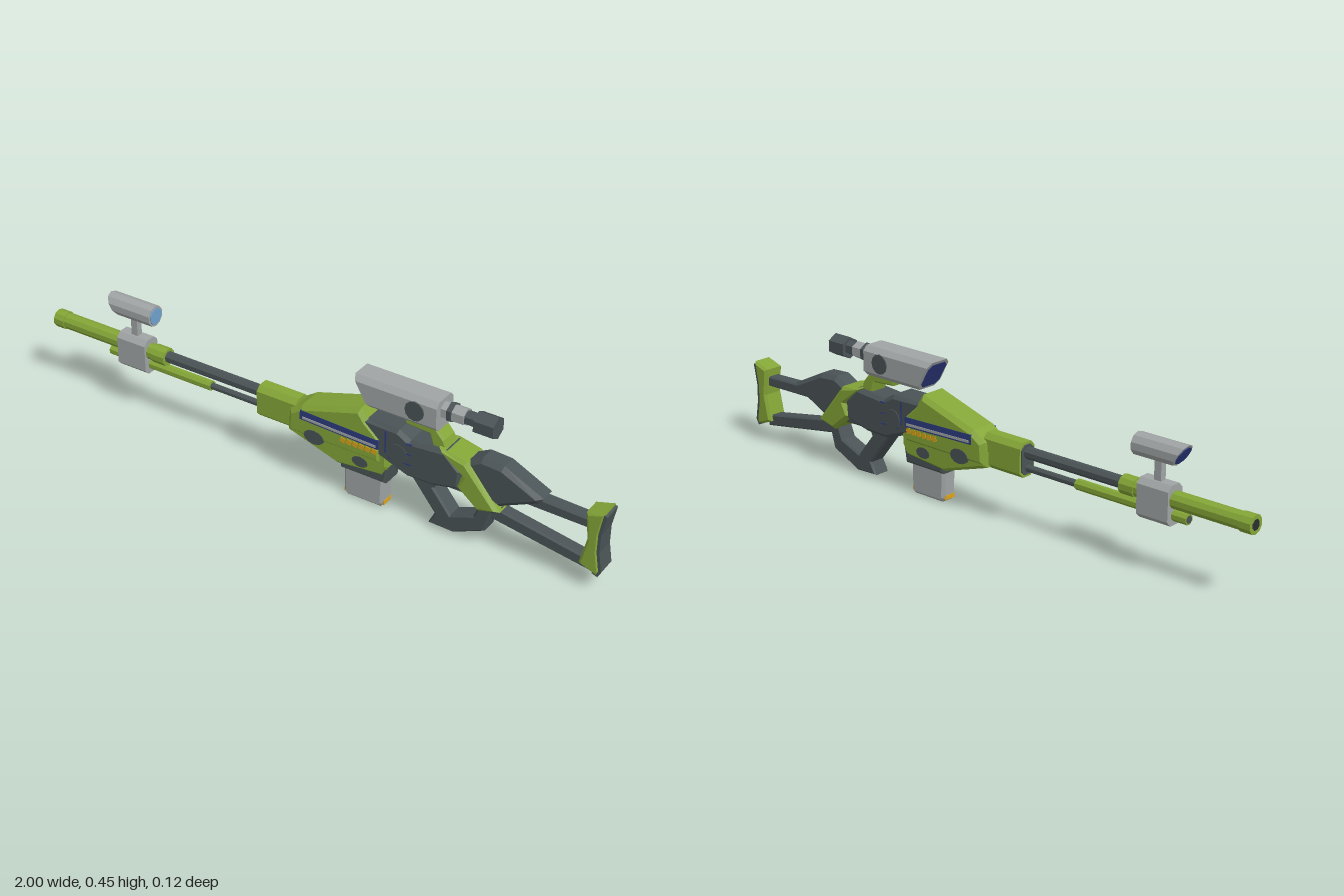
import * as THREE from 'three';

const mat = (name, color) => {
  const m = new THREE.MeshStandardMaterial({ color, flatShading: true });
  m.name = name;
  return m;
};

export function createModel() {
  const model = new THREE.Group();
  model.name = 'rifle';
  const green = mat('green', 0x84a637), dark = mat('dark grey', 0x4a5356), grey = mat('light grey', 0xa0a4a4);
  const black = mat('black', 0x2a2e31), navy = mat('navy', 0x2d3c80), yellow = mat('yellow', 0xdba41a);
  const glass = mat('glass', 0x6fa3cc);

  const add = (name, geo, material, x = 0, y = 0, z = 0) => {
    const m = new THREE.Mesh(geo, material);
    m.name = name;
    m.position.set(x, y, z);
    model.add(m);
    return m;
  };
  const outline = (pts) => new THREE.Shape(pts.map(p => new THREE.Vector2(...p)));

  // Side silhouette extruded through the width, with chamfered edges
  const slab = (name, pts, half, bevel, material, hole) => {
    const s = outline(pts);
    if (hole) s.holes.push(new THREE.Path(hole.map(p => new THREE.Vector2(...p))));
    const geo = new THREE.ExtrudeGeometry(s, {
      depth: 2 * (half - bevel), bevelEnabled: bevel > 0, bevelThickness: bevel,
      bevelSize: bevel, bevelOffset: -bevel, bevelSegments: 1,
    });
    geo.translate(0, 0, bevel - half);
    return add(name, geo, material);
  };

  // Cross-section swept along x; slant pushes the lower front edge back
  const prism = (name, section, x0, x1, y, material, slant = 0) => {
    const geo = new THREE.ExtrudeGeometry(outline(section), { depth: x1 - x0, bevelEnabled: false });
    geo.rotateY(Math.PI / 2);
    const p = geo.attributes.position;
    const mid = (x1 - x0) / 2;
    for (let i = 0; i < p.count; i++) {
      if (p.getX(i) < mid || x1 - x0 < 0.01) p.setX(i, p.getX(i) - slant * p.getY(i));
    }
    geo.computeVertexNormals();
    return add(name, geo, material, x0, y, 0);
  };
  const ngon = (r, n, turn = 0) => Array.from({ length: n }, (_, i) => {
    const a = (i / n) * Math.PI * 2 + turn;
    return [r * Math.cos(a), r * Math.sin(a)];
  });
  const chamfered = (w, h, c) => [[-w + c, -h], [w - c, -h], [w, -h + c], [w, h - c],
    [w - c, h], [-w + c, h], [-w, h - c], [-w, -h + c]];
  const tube = (name, x0, x1, y, r, material, n = 8) => prism(name, ngon(r, n, Math.PI / n), x0, x1, y, material);
  const box = (name, x0, x1, y0, y1, half, material) =>
    add(name, new THREE.BoxGeometry(x1 - x0, y1 - y0, half * 2), material, (x0 + x1) / 2, (y0 + y1) / 2, 0);

  // Barrels
  tube('muzzle', -1, -0.96, 0.24, 0.03, green, 10);
  tube('muzzleBore', -1.001, -0.998, 0.24, 0.017, black);
  tube('barrelSleeve', -0.96, -0.6, 0.24, 0.027, green, 10);
  tube('barrelCollar', -0.6, -0.55, 0.24, 0.03, green, 10);
  tube('barrel', -0.55, -0.17, 0.242, 0.019, dark);
  tube('lowerSleeve', -0.78, -0.38, 0.193, 0.017, green);
  tube('lowerBore', -0.782, -0.779, 0.193, 0.012, dark);
  tube('lowerBarrel', -0.39, -0.17, 0.193, 0.011, dark);

  // Front sight
  prism('sightClamp', chamfered(0.033, 0.061, 0.016), -0.73, -0.62, 0.224, grey);
  box('sightPost', -0.687, -0.663, 0.28, 0.345, 0.011, grey);
  prism('sightTube', ngon(0.035, 10, Math.PI / 10), -0.75, -0.595, 0.375, grey, 0.6);
  prism('sightFrontGlass', ngon(0.028, 10, Math.PI / 10), -0.754, -0.751, 0.375, navy, 0.6);
  tube('sightRearGlass', -0.595, -0.592, 0.375, 0.028, glass, 10);

  // Fore end and green body shells
  prism('foreEnd', chamfered(0.033, 0.055, 0.016), -0.185, -0.04, 0.22, green);
  prism('foreEndOpening', chamfered(0.027, 0.047, 0.014), -0.188, -0.184, 0.22, dark);
  slab('upperShell', [[-0.06, 0.175], [-0.055, 0.25], [-0.01, 0.28], [0.2, 0.345], [0.225, 0.31],
    [0.275, 0.265], [0.275, 0.175]], 0.055, 0.014, green);
  slab('lowerShell', [[-0.06, 0.22], [-0.06, 0.17], [0.115, 0.115], [0.275, 0.13], [0.295, 0.165],
    [0.295, 0.22]], 0.047, 0.01, green);

  // Dark receiver, trigger loop and grip
  slab('receiver', [[0.2, 0.315], [0.33, 0.315], [0.37, 0.292], [0.49, 0.302], [0.545, 0.25], [0.54, 0.185],
    [0.45, 0.165], [0.36, 0.163], [0.26, 0.2], [0.22, 0.27]], 0.05, 0.012, dark);
  slab('grip', [[0.355, 0.175], [0.45, 0.055], [0.43, 0.015], [0.515, 0.012], [0.62, 0.06], [0.64, 0.13],
    [0.67, 0.16], [0.6, 0.195], [0.45, 0.195]], 0.03, 0.006, dark,
    [[0.455, 0.165], [0.445, 0.145], [0.505, 0.07], [0.58, 0.1], [0.598, 0.145], [0.575, 0.165]]);

  // Magazine
  slab('magazineWell', [[0.115, 0.165], [0.125, 0.1], [0.285, 0.1], [0.295, 0.165]], 0.04, 0.008, dark);
  slab('magazine', [[0.13, 0.11], [0.132, 0.012], [0.142, 0], [0.26, 0], [0.27, 0.012], [0.272, 0.11]], 0.029, 0.009, grey);
  for (const x of [0.134, 0.268]) box('magazineCorner', x - 0.004, x + 0.004, 0.008, 0.022, 0.021, yellow);

  // Details painted on both flanks
  for (const s of [1, -1]) {
    const plate = (name, x0, x1, y0, y1, z, material) => {
      const m = box(name, x0, x1, y0, y1, 0.002, material);
      m.position.z = s * z;
      return m;
    };
    plate('sideSlot', -0.01, 0.268, 0.232, 0.264, 0.0545, navy).rotation.z = -0.03;
    plate('sideRail', 0, 0.26, 0.237, 0.245, 0.0565, grey).rotation.z = -0.03;
    for (let i = 0; i < 6; i++) {
      plate('hazardTooth', 0.135 + i * 0.022, 0.152 + i * 0.022, 0.208, 0.225, 0.0545, yellow).rotation.z = -0.3;
    }
    for (let i = 0; i < 3; i++) plate('blueLine', 0.3 + i * 0.03, 0.38, 0.21 + i * 0.035, 0.214 + i * 0.035, 0.0495, navy);
    plate('blueUpright', 0.287, 0.292, 0.225, 0.3, 0.0495, navy);
    const oval = (name, x, y, rx, ry, z, material) => {
      const geo = new THREE.CylinderGeometry(1, 1, 0.008, 12).rotateX(Math.PI / 2).scale(rx, ry, 1);
      add(name, geo, material, x, y, s * z);
    };
    oval('sideOval', 0.04, 0.187, 0.036, 0.024, 0.053, dark);
    oval('rearOval', 0.2, 0.155, 0.028, 0.018, 0.045, dark);
    oval('receiverPivot', 0.33, 0.235, 0.034, 0.034, 0.048, dark);
    oval('scopeKnob', 0.383, 0.403, 0.032, 0.032, 0.048, dark);
  }

  // Scope and its bracket
  slab('scopeBracket', [[0.335, 0.365], [0.44, 0.365], [0.475, 0.325], [0.49, 0.285], [0.44, 0.285],
    [0.425, 0.33], [0.345, 0.335]], 0.032, 0.006, green);
  prism('scopeBody', chamfered(0.048, 0.049, 0.016), 0.198, 0.455, 0.4, grey, 0.56);
  prism('scopeFrontGlass', chamfered(0.039, 0.04, 0.013), 0.194, 0.197, 0.4, navy, 0.56);
  tube('scopeNeck', 0.45, 0.53, 0.41, 0.028, grey, 6);
  tube('scopeRing', 0.475, 0.49, 0.41, 0.032, dark, 6);
  tube('eyepieceNeck', 0.53, 0.57, 0.41, 0.023, dark, 6);
  prism('eyepiece', ngon(0.036, 6, Math.PI / 2), 0.565, 0.63, 0.408, dark);

  // Stock
  slab('stockBand', [[0.465, 0.305], [0.56, 0.29], [0.672, 0.155], [0.6, 0.135], [0.525, 0.195],
    [0.545, 0.235]], 0.052, 0.012, green);
  slab('cheekRest', [[0.54, 0.28], [0.6, 0.312], [0.67, 0.308], [0.8, 0.245], [0.785, 0.225], [0.66, 0.165],
    [0.58, 0.2]], 0.038, 0.014, dark);
  slab('upperStrut', [[0.74, 0.24], [0.95, 0.233], [0.95, 0.2], [0.72, 0.203]], 0.022, 0.005, dark);
  slab('lowerStrut', [[0.62, 0.155], [0.95, 0.097], [0.95, 0.058], [0.61, 0.112]], 0.022, 0.005, dark);
  slab('buttPlate', [[0.935, 0.26], [0.994, 0.278], [0.982, 0.2], [0.982, 0.14], [0.993, 0.075], [0.985, 0.057],
    [0.925, 0.08], [0.945, 0.17]], 0.037, 0.008, green);
  slab('buttPad', [[0.985, 0.273], [1, 0.268], [0.987, 0.2], [0.987, 0.14], [0.998, 0.075], [0.988, 0.055],
    [0.97, 0.062], [0.975, 0.14], [0.975, 0.2]], 0.033, 0, dark);

  return model;
}
